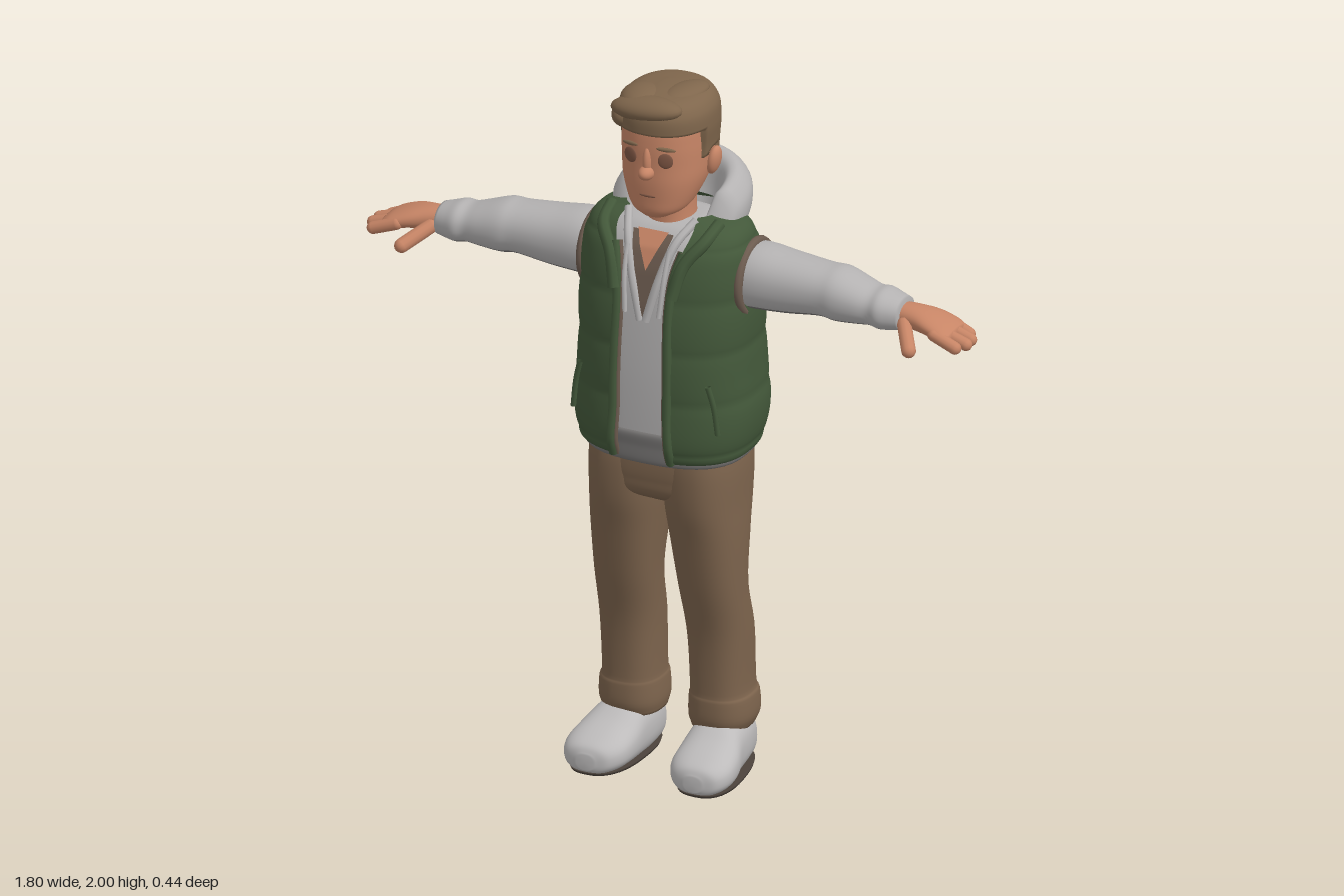
import * as THREE from 'three';

const paint = (name, color) => {
  const m = new THREE.MeshStandardMaterial({ color, side: THREE.DoubleSide });
  m.name = name;
  return m;
};
const mats = {
  skin: paint('skin', 0xc78566), hair: paint('hair brown', 0x7f664c), eye: paint('eye shade', 0x7d5543),
  cloth: paint('hoodie grey', 0xb4b2b2), rib: paint('shaded grey', 0x767473), vest: paint('vest green', 0x43583a),
  lining: paint('lining brown', 0x6c5b4f), trousers: paint('trouser brown', 0x7d644d),
  shoe: paint('shoe grey', 0xbdbbbb), sole: paint('sole dark', 0x4b423b),
};

const power = (v, e) => Math.sign(v) * Math.abs(v) ** e;

// Smooth skin over superellipse rows [t, centreA, centreB, radiusA, radiusB, frontGap] along an axis.
function loft(rows, { axis = 'y', p = 2.2, n = 40, steps = 40, open = false, warp, second } = {}) {
  const curve = new THREE.CubicInterpolant(rows.map((_, i) => i), rows.flatMap(r => [...r, 0].slice(0, 6)), 6);
  const pos = [], main = [], other = [], cols = open ? n + 1 : n;
  const v = new THREE.Vector3();
  for (let i = 0; i <= steps; i++) {
    const [t, ca, cb, ra, rb, gap] = [...curve.evaluate(i / steps * (rows.length - 1))];
    const a0 = open ? Math.asin(Math.min(1, Math.max(0, gap / ra) ** (p / 2))) : 0;
    for (let j = 0; j < cols; j++) {
      const a = a0 + (Math.PI * 2 - 2 * a0) * j / n;
      const A = ca + ra * power(Math.sin(a), 2 / p), B = cb + rb * power(Math.cos(a), 2 / p);
      if (axis === 'y') v.set(A, t, B);
      else if (axis === 'x') v.set(t, B, A);
      else v.set(A, B, t);
      if (warp) warp(v, ca, cb);
      pos.push(v.x, v.y, v.z);
    }
  }
  for (let i = 0; i < steps; i++) for (let j = 0; j < n; j++) {
    const k = (j + 1) % cols, a = i * cols + j, b = i * cols + k, c = a + cols, d = b + cols;
    const list = second && second(i / steps, (j + 0.5) / n) ? other : main;
    list.push(a, b, d, a, d, c);
  }
  // end caps
  if (!open) for (const i of [0, steps]) {
    const c = [0, 0, 0], at = pos.length / 3;
    for (let j = 0; j < n; j++) for (let q = 0; q < 3; q++) c[q] += pos[(i * n + j) * 3 + q] / n;
    pos.push(...c);
    for (let j = 0; j < n; j++) {
      const a = i * n + j, b = i * n + (j + 1) % n;
      main.push(...(i ? [a, b, at] : [b, a, at]));
    }
  }
  // turn all faces outward
  const index = [...main, ...other], mid = new THREE.Vector3(), count = pos.length / 3;
  for (let i = 0; i < count; i++) mid.add(v.fromArray(pos, i * 3));
  mid.divideScalar(count);
  const corner = i => new THREE.Vector3().fromArray(pos, i * 3).sub(mid);
  let volume = 0;
  for (let i = 0; i < index.length; i += 3)
    volume += corner(index[i]).dot(corner(index[i + 1]).cross(corner(index[i + 2])));
  if (volume < 0) for (let i = 0; i < index.length; i += 3) [index[i], index[i + 1]] = [index[i + 1], index[i]];
  const g = new THREE.BufferGeometry();
  g.setAttribute('position', new THREE.Float32BufferAttribute(pos, 3));
  g.setIndex(index);
  if (second) { g.addGroup(0, main.length, 0); g.addGroup(main.length, other.length, 1); }
  g.computeVertexNormals();
  return g;
}

export function createModel() {
  const root = new THREE.Group();
  root.name = 'standingMan';
  const add = (name, geometry, mat) => {
    const m = new THREE.Mesh(geometry, mat);
    m.name = name;
    root.add(m);
    return m;
  };
  const ball = (name, mat, at, size, turn = 0, tilt = 0) => {
    const m = add(name, new THREE.SphereGeometry(1, 24, 16), mat);
    m.position.set(...at); m.scale.set(...size); m.rotation.set(0, turn, tilt);
  };
  const tube = (name, mat, pts, r) => add(name, new THREE.TubeGeometry(
    new THREE.CatmullRomCurve3(pts.map(q => new THREE.Vector3(...q))), 32, r, 8), mat);
  const capsule = (name, mat, from, to, r) => {
    const a = new THREE.Vector3(...from), b = new THREE.Vector3(...to), d = b.clone().sub(a);
    const m = add(name, new THREE.CapsuleGeometry(r, d.length(), 6, 12), mat);
    m.position.copy(a).add(b).multiplyScalar(0.5);
    m.quaternion.setFromUnitVectors(new THREE.Vector3(0, 1, 0), d.normalize());
  };
  // body row from half width and front and back depth
  const body = ([y, rx, front, back, gap = 0]) => [y, 0, (front + back) / 2, rx, (front - back) / 2, gap];

  // head and neck
  add('head', loft([[1.645, 0, .095, .04, .045], [1.665, 0, .075, .075, .08], [1.70, 0, .06, .095, .10],
    [1.75, 0, .04, .112, .125], [1.80, 0, .03, .118, .135], [1.86, 0, .025, .12, .14],
    [1.92, 0, .025, .115, .13], [1.965, 0, .025, .08, .09], [1.98, 0, .025, .03, .04]], { p: 2.3 }), mats.skin);
  add('neck', loft([[1.54, 0, .015, .075, .075], [1.62, 0, .015, .066, .07], [1.72, 0, .02, .066, .07]]), mats.skin);
  ball('nose', mats.skin, [0, 1.785, .165], [.022, .02, .03]);
  ball('noseBridge', mats.skin, [0, 1.815, .157], [.014, .045, .02]);
  ball('mouth', mats.eye, [0, 1.715, .16], [.024, .004, .004]);
  for (const s of [1, -1]) {
    ball('ear', mats.skin, [s * .124, 1.785, .01], [.018, .042, .028], 0, -s * .2);
    ball('eye', mats.eye, [s * .052, 1.825, .157], [.021, .022, .0045], s * .28);
    ball('eyebrow', mats.hair, [s * .053, 1.858, .156], [.027, .006, .005], s * .28, -s * .08);
  }

  // hair: tucked into the head below the hairline
  const hairline = z => z > .075 ? 1.9 : z > .035 ? 1.81 : z > -.015 ? 1.825 : 1.735;
  add('hair', loft([[1.72, 0, .02, .1, .105], [1.77, 0, .025, .12, .14], [1.84, 0, .025, .127, .147],
    [1.90, 0, .03, .133, .15], [1.95, 0, .033, .127, .143], [1.982, 0, .033, .095, .112], [1.993, 0, .03, .02, .03]], {
    n: 72, steps: 56, warp: (v, cx, cz) => {
      if (v.y < hairline(v.z)) { v.x *= .82; v.z = cz + (v.z - cz) * .82; }
    } }), mats.hair);
  ball('quiff', mats.hair, [-.015, 1.958, .135], [.105, .034, .05], 0, .08);
  ball('quiffSweep', mats.hair, [-.05, 1.965, .09], [.06, .033, .08], .4);
  ball('forelock', mats.hair, [-.085, 1.925, .125], [.035, .035, .04]);
  ball('hairTuft', mats.hair, [.05, 1.978, .03], [.045, .02, .08], -.3);

  // hoodie body, hem and neck opening
  add('hoodieBody', loft([[.945, .215, .18, -.15], [1.0, .23, .19, -.165], [1.2, .225, .192, -.17],
    [1.4, .225, .178, -.155], [1.5, .22, .158, -.135], [1.56, .205, .135, -.115], [1.6, .16, .1, -.09],
    [1.615, .08, .06, -.06]].map(body), { p: 2.6 }), mats.cloth);
  add('hoodieHem', loft([[.938, .205, .17, -.145], [.945, .228, .193, -.16], [.99, .234, .196, -.168],
    [1.03, .232, .195, -.168], [1.035, .2, .16, -.14]].map(body), { p: 2.6 }), mats.rib);
  const chest = [[1.34, .189], [1.4, .183], [1.5, .163], [1.56, .141], [1.6, .112]];
  const chestZ = y => {
    const i = Math.max(1, chest.findIndex(c => y <= c[0] + 1e-6)), [y0, z0] = chest[i - 1], [y1, z1] = chest[i];
    return z0 + (z1 - z0) * (y - y0) / (y1 - y0);
  };
  const vee = (name, mat, low, high, width, lift) => {
    const g = new THREE.PlaneGeometry(1, 1, 2, 16), q = g.attributes.position;
    for (let i = 0; i < q.count; i++) {
      const u = q.getY(i) + .5, y = low + (high - low) * u;
      q.setXYZ(i, q.getX(i) * 2 * width * u, y, chestZ(y) + lift);
    }
    g.computeVertexNormals();
    add(name, g, mat);
  };
  vee('neckOpening', mats.lining, 1.36, 1.595, .06, .007);
  vee('bareThroat', mats.skin, 1.5, 1.6, .045, .011);

  // hood lying on the shoulders
  add('hood', loft([[1.49, 0, -.05, .12, .11], [1.53, 0, -.055, .155, .13], [1.575, 0, -.05, .185, .155],
    [1.63, 0, -.05, .188, .163], [1.67, 0, -.045, .165, .15], [1.685, 0, -.04, .14, .13],
    [1.67, 0, -.03, .12, .115], [1.60, 0, -.02, .105, .10], [1.53, 0, 0, .09, .08]], {
    n: 56, warp: v => { v.y -= .3 * v.z + 1.6 * Math.max(0, v.z); } }), mats.cloth);

  // padded vest, open at the front
  const vestRows = [[.975, .2, .165, -.14, .085], [.957, .235, .2, -.165, .085], [1.0, .252, .216, -.186, .085],
    [1.1, .259, .214, -.197, .08], [1.2, .249, .212, -.194, .08], [1.3, .248, .207, -.188, .078],
    [1.4, .248, .196, -.178, .077], [1.5, .243, .178, -.158, .085], [1.56, .236, .158, -.138, .1],
    [1.605, .205, .122, -.112, .11], [1.63, .13, .08, -.09, .1]];
  add('vest', loft(vestRows.map(body), { p: 2.6, n: 64, steps: 90, open: true, warp: (v, cx, cz) => {
    const k = 1 + .028 * (Math.sqrt(Math.abs(Math.sin(Math.PI * (v.y - .985) / .145))) - .85);
    v.x *= k; v.z = cz + (v.z - cz) * k;
  } }), mats.vest);
  for (const s of [1, -1]) {
    const edge = vestRows.slice(1, 9).map(([y, rx, f, b, gap]) => [s * gap, y,
      (f + b) / 2 + (f - b) / 2 * (1 - (gap / rx) ** 2.6) ** (1 / 2.6) - .004]);
    tube('vestEdge', mats.vest, edge, .013);
    tube('vestFacing', mats.lining, edge.map(([x, y, z]) => [x - s * .01, y, z - .004]), .008);
    tube('vestCollar', mats.vest, [[s * .16, 1.618, .05], [s * .15, 1.59, .12], [s * .108, 1.53, .163],
      [s * .085, 1.44, .188]], .018);
    tube('drawstring', mats.cloth, [[s * .062, 1.56, .155], [s * .058, 1.48, .182], [s * .05, 1.38, .196]], .007);
    tube('hoodEdge', mats.cloth, [[s * .1, 1.625, .07], [s * .07, 1.575, .135], [s * .04, 1.48, .172],
      [s * .008, 1.36, .188]], .012);
    tube('pocketSeam', mats.vest, [[s * .19, 1.2, .182], [s * .205, 1.14, .176], [s * .215, 1.06, .172]], .008);

    // armhole and sleeve, darker underneath
    const hole = add('armhole', new THREE.TorusGeometry(.1, .013, 10, 36), mats.lining);
    hole.rotation.y = Math.PI / 2;
    hole.position.set(s * .234, 1.455, -.01);
    add('sleeve', loft([[.17, -.01, 1.455, .085, .08], [.25, -.01, 1.465, .093, .09], [.35, -.01, 1.463, .088, .082],
      [.45, -.008, 1.465, .081, .071], [.5, -.008, 1.462, .084, .073], [.56, -.005, 1.455, .075, .061],
      [.6, -.003, 1.451, .067, .053], [.63, 0, 1.45, .07, .056], [.66, 0, 1.447, .062, .05],
      [.69, 0, 1.445, .052, .043]].map(([x, ...r]) => [s * x, ...r]), {
      axis: 'x', second: (u, a) => u < .8 && Math.abs(a - .5) < .13 }), [mats.cloth, mats.rib]);

    // hand
    add('palm', loft([[.66, 0, 1.445, .035, .03], [.72, 0, 1.442, .045, .032], [.77, 0, 1.436, .06, .029],
      [.82, .004, 1.424, .066, .023], [.845, .006, 1.417, .058, .014]].map(([x, ...r]) => [s * x, ...r]),
    { axis: 'x', steps: 20 }), mats.skin);
    [[-.045, .86], [-.013, .88], [.021, .882], [.055, .866]].forEach(([z, tip]) =>
      capsule('finger', mats.skin, [s * .8, 1.426, z], [s * tip, 1.403, z + .006], .0175));
    capsule('thumb', mats.skin, [s * .705, 1.432, .04], [s * .755, 1.395, .115], .02);

    // trouser leg with rolled cuff
    add('trouserLeg', loft([[.12, .13, -.035, .08, .088], [.155, .133, -.035, .09, .102], [.21, .133, -.033, .088, .1],
      [.24, .131, -.03, .082, .094], [.4, .13, -.018, .085, .093], [.55, .125, .018, .09, .09],
      [.7, .118, .022, .1, .115], [.8, .112, .018, .105, .14], [.9, .11, .015, .107, .15],
      [.97, .11, .015, .1, .145]].map(([y, x, ...r]) => [y, s * x, ...r]), { p: 2.4 }), mats.trousers);

    // shoe and sole
    add('shoe', loft([[-.13, .135, .06, .02, .035], [-.115, .135, .06, .055, .065], [-.05, .137, .075, .075, .085],
      [.03, .143, .07, .08, .085], [.1, .152, .058, .09, .065], [.16, .157, .05, .088, .052],
      [.2, .16, .043, .065, .04], [.215, .16, .038, .025, .022]].map(([z, x, ...r]) => [z, s * x, ...r]),
    { axis: 'z', p: 2.4, warp: v => { v.y = Math.max(v.y, .008); } }), mats.shoe);
    add('sole', loft([[0, 0, .042, .086, .166], [.009, 0, .042, .089, .17]], {
      steps: 2, p: 2.5, warp: v => { v.x = s * .145 + v.x * (.93 + .5 * v.z) + s * .08 * v.z; } }), mats.sole);
  }

  // trouser seat
  add('trouserSeat', loft([[.79, 0, .015, .05, .07], [.83, 0, .015, .18, .135], [.88, 0, .015, .212, .148],
    [.93, 0, .015, .214, .15], [.97, 0, .015, .205, .145]], { p: 2.7 }), mats.trousers);
  return root;
}
